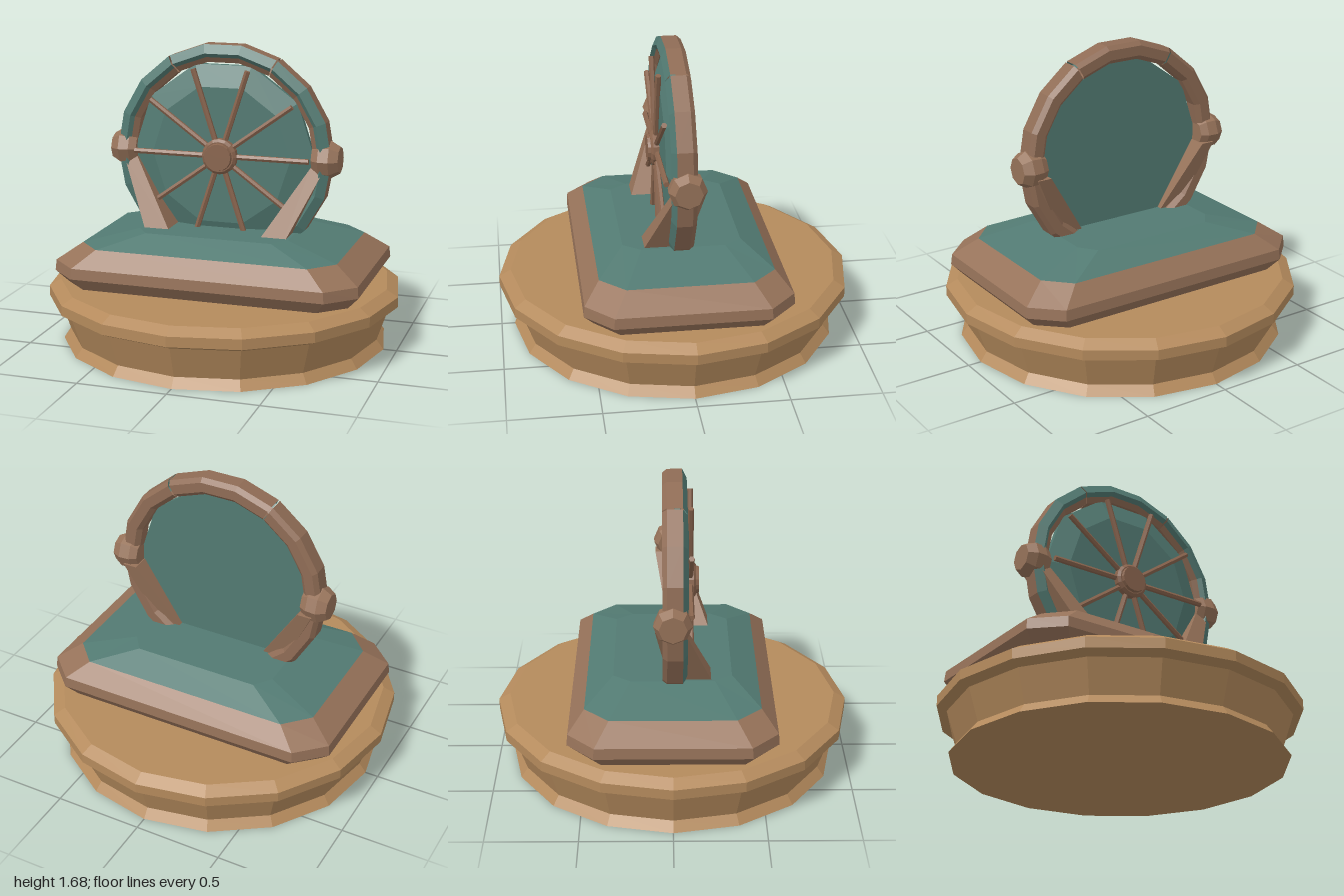
import * as THREE from 'three';

const mat = (name, color, side = THREE.FrontSide) => {
  const m = new THREE.MeshStandardMaterial({ color, side });
  m.name = name;
  return m;
};

// Faceted normals, since the style is low-poly
const facet = (geo) => {
  const g = geo.index ? geo.toNonIndexed() : geo;
  g.computeVertexNormals();
  return g;
};

const deg = Math.PI / 180;

// Revolved profile of [radius, height] points
const lathe = (pts, sides, start = 0, length = Math.PI * 2) =>
  new THREE.LatheGeometry(pts.map(([r, h]) => new THREE.Vector2(r, h)), sides, start, length);

// Closed solid through a stack of equal-sized rings of [x, y, z]
function loft(rings, capBottom = true, capTop = true) {
  const pos = [];
  const n = rings[0].length;
  const tri = (a, b, c) => pos.push(...a, ...b, ...c);
  for (let k = 0; k + 1 < rings.length; k++) {
    const lo = rings[k], up = rings[k + 1];
    for (let i = 0; i < n; i++) {
      const j = (i + 1) % n;
      tri(lo[i], up[i], up[j]);
      tri(lo[i], up[j], lo[j]);
    }
  }
  const first = rings[0], last = rings[rings.length - 1];
  for (let i = 1; i + 1 < n; i++) {
    if (capTop) tri(last[0], last[i + 1], last[i]);
    if (capBottom) tri(first[0], first[i], first[i + 1]);
  }
  const g = new THREE.BufferGeometry();
  g.setAttribute('position', new THREE.Float32BufferAttribute(pos, 3));
  return g;
}

// Rectangle with cut corners: half sizes hx, hz and corner starts cx, cz
const cutRect = (y, hx, hz, cx, cz) => [
  [hx, y, -cz], [hx, y, cz], [cx, y, hz], [-cx, y, hz],
  [-hx, y, cz], [-hx, y, -cz], [-cx, y, -hz], [cx, y, -hz],
];

export function createModel() {
  const model = new THREE.Group();
  model.name = 'wheelMonument';

  const sand = mat('sandWood', 0xb48a5c);
  const brown = mat('brown', 0x967259);
  const green = mat('green', 0x527a72);
  const bronze = mat('bronze', 0x8a654e);
  const ringBrown = mat('ringBrown', 0x8f6c55, THREE.DoubleSide);
  const ringGreen = mat('ringGreen', 0x527a72, THREE.DoubleSide);

  const add = (parent, name, geo, material) => {
    const mesh = new THREE.Mesh(facet(geo), material);
    mesh.name = name;
    parent.add(mesh);
    return mesh;
  };

  // Round pedestal
  add(model, 'pedestal', lathe([
    [0, 0], [0.925, 0], [0.885, 0.053], [0.945, 0.23], [1, 0.255],
    [1, 0.312], [0.935, 0.35], [0, 0.35],
  ], 16), sand);

  // Cut-corner block with a green sloping top
  const shoulder = cutRect(0.573, 0.73, 0.475, 0.6, 0.34);
  add(model, 'block', loft([
    cutRect(0.345, 0.80, 0.51, 0.66, 0.38),
    cutRect(0.42, 0.868, 0.567, 0.715, 0.42),
    cutRect(0.48, 0.862, 0.562, 0.71, 0.415),
    shoulder,
  ], true, false), brown);
  add(model, 'blockTop', loft([
    shoulder,
    cutRect(0.65, 0.43, 0.325, 0.36, 0.23),
  ], false, true), green);

  // Everything on the wheel is centred on its axle
  const wheel = new THREE.Group();
  wheel.name = 'wheel';
  wheel.position.y = 1.064;
  model.add(wheel);

  // Split rim: a short top arc and a long lower arc, green on the front
  const rimBody = [[0.55, 0.06], [0.52, 0.04], [0.52, -0.03], [0.545, -0.055],
    [0.6, -0.055], [0.622, -0.03], [0.622, 0.055]];
  const rimFront = [[0.622, 0.055], [0.572, 0.08], [0.55, 0.06]];
  const gap = 0.4;
  for (const [name, from, to, segs] of [['top', 150, 210, 3], ['lower', 210, 510, 15]]) {
    const start = (from + gap) * deg, len = (to - from - 2 * gap) * deg;
    add(wheel, name + 'Rim', lathe(rimBody, segs, start, len).rotateX(Math.PI / 2), ringBrown);
    add(wheel, name + 'RimFront', lathe(rimFront, segs, start, len).rotateX(Math.PI / 2), ringGreen);
  }

  // Ten-sided disc with a bevelled front
  add(wheel, 'disc', lathe([
    [0, 0.01], [0.526, 0.01], [0.526, 0.04], [0.4, 0.088], [0, 0.088],
  ], 10, 18 * deg).rotateX(Math.PI / 2), green);

  // Spokes
  for (let i = 0; i < 10; i++) {
    const geo = new THREE.CylinderGeometry(0.016, 0.016, 0.505, 6);
    geo.translate(0, 0.2525, 0).rotateZ(i * 36 * deg - Math.PI / 2);
    add(wheel, 'spoke', geo, bronze).position.z = 0.1;
  }

  // Stepped hub
  add(wheel, 'hub', lathe([
    [0, 0.08], [0.1, 0.08], [0.1, 0.12], [0.085, 0.132], [0.078, 0.132],
    [0.074, 0.148], [0, 0.148],
  ], 16).rotateX(Math.PI / 2), bronze);

  for (const s of [1, -1]) {
    // Axle boss on each side of the rim
    const boss = add(wheel, s > 0 ? 'leftBoss' : 'rightBoss', lathe([
      [0, 0.51], [0.078, 0.51], [0.1, 0.55], [0.104, 0.61], [0.075, 0.66], [0, 0.66],
    ], 8).rotateZ(-Math.PI / 2), brown);
    if (s < 0) boss.rotation.y = Math.PI;

    // Leaning brace from boss to block
    const section = (y, x, half, back, front) => [
      [s * x + half, y, back], [s * x + half, y, front],
      [s * x - half, y, front], [s * x - half, y, back],
    ];
    add(model, s > 0 ? 'leftBrace' : 'rightBrace', loft([
      section(0.6, 0.313, 0.075, -0.01, 0.23),
      section(1.02, 0.545, 0.04, -0.095, 0.06),
    ]), brown);
  }

  return model;
}
